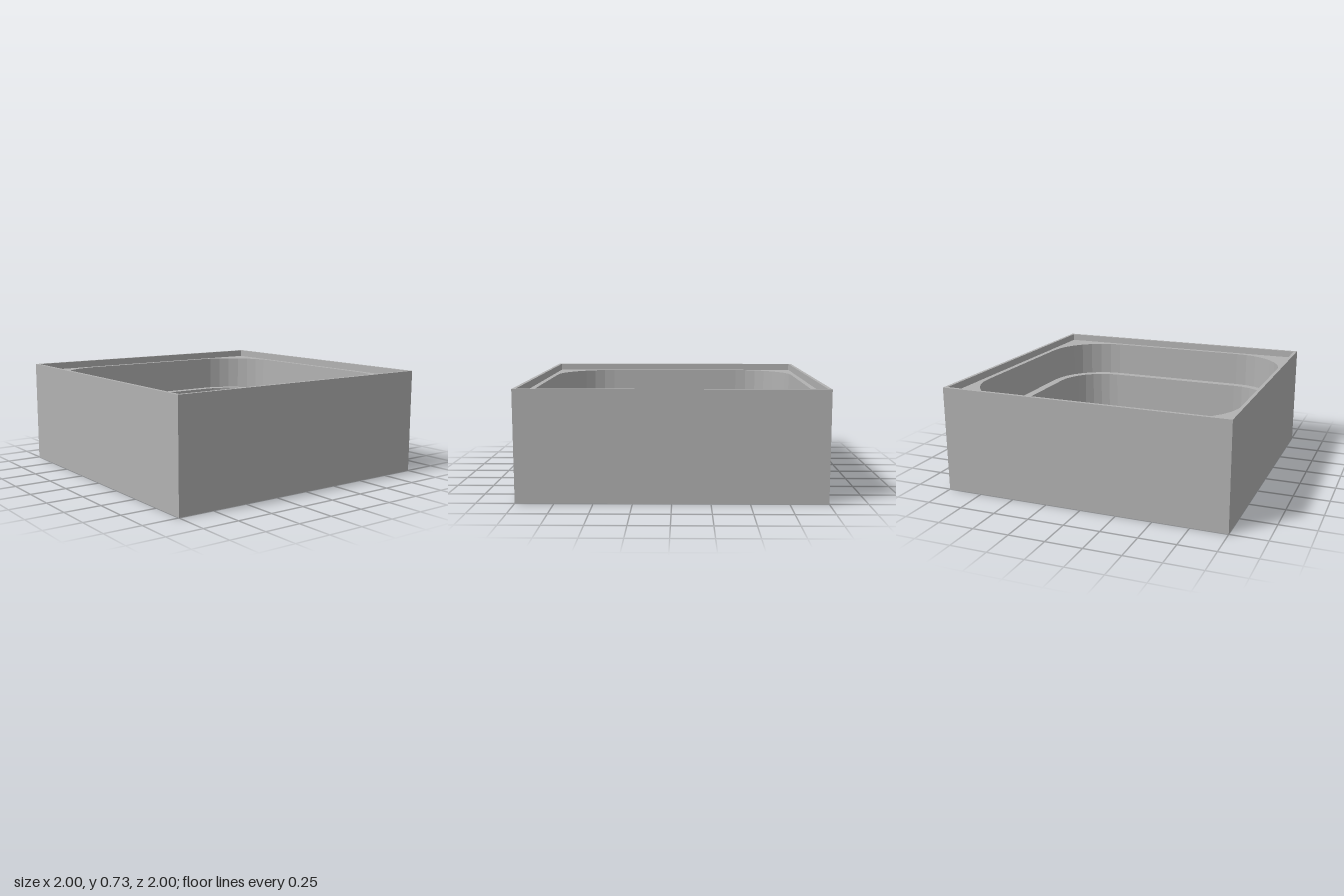
import * as THREE from 'three';

// Levels, from the ground up
const FLOOR = 0.028, LEDGE = 0.43, DECK = 0.683, TOP = 0.733;
const ARC_STEPS = 8;

// Counter-clockwise square outline with optional rounded corners
function outline(half, radius = 0) {
  const corners = [[1, 1], [-1, 1], [-1, -1], [1, -1]];
  const c = half - radius;
  return corners.flatMap(([sx, sy], k) => {
    if (!radius) return [new THREE.Vector2(sx * c, sy * c)];
    return Array.from({ length: ARC_STEPS + 1 }, (_, i) => {
      const a = (k + i / ARC_STEPS) * Math.PI / 2;
      return new THREE.Vector2(sx * c + radius * Math.cos(a), sy * c + radius * Math.sin(a));
    });
  });
}

// Horizontal face at height y, with an optional hole
function flat(points, hole, y, up = true) {
  const shape = new THREE.Shape(points);
  if (hole) shape.holes.push(new THREE.Path(hole));
  return new THREE.ShapeGeometry(shape).rotateX(up ? -Math.PI / 2 : Math.PI / 2).translate(0, y, 0);
}

// Vertical band following an outline, facing out of or into it
function wall(points, y0, y1, inward = false) {
  const pts = inward ? [...points].reverse() : points;
  const pos = [];
  pts.forEach((p, i) => {
    const q = pts[(i + 1) % pts.length];
    const a = [p.x, y0, -p.y], b = [q.x, y0, -q.y];
    const c = [q.x, y1, -q.y], d = [p.x, y1, -p.y];
    pos.push(...a, ...b, ...c, ...a, ...c, ...d);
  });
  const geo = new THREE.BufferGeometry();
  geo.setAttribute('position', new THREE.Float32BufferAttribute(pos, 3));
  geo.computeVertexNormals();
  return geo;
}

export function createModel() {
  const model = new THREE.Group();
  model.name = 'squareTray';
  const grey = new THREE.MeshStandardMaterial({ color: 0xb2b2b2 });
  grey.name = 'plain grey';

  const outer = outline(1);
  const lip = outline(0.977);
  const upper = outline(0.94, 0.42);
  const lower = outline(0.876, 0.356);

  const parts = {
    // Outer box
    base: flat(outer, null, 0, false),
    outerWalls: wall(outer, 0, TOP),
    // Thin raised lip around the deck
    lipTop: flat(outer, lip, TOP),
    lipInside: wall(lip, DECK, TOP, true),
    deck: flat(lip, upper, DECK),
    // Stepped pocket with rounded corners
    upperPocketWall: wall(upper, LEDGE, DECK, true),
    ledge: flat(upper, lower, LEDGE),
    lowerPocketWall: wall(lower, FLOOR, LEDGE, true),
    pocketFloor: flat(lower, null, FLOOR),
  };
  for (const [name, geometry] of Object.entries(parts)) {
    const mesh = new THREE.Mesh(geometry, grey);
    mesh.name = name;
    model.add(mesh);
  }
  return model;
}
